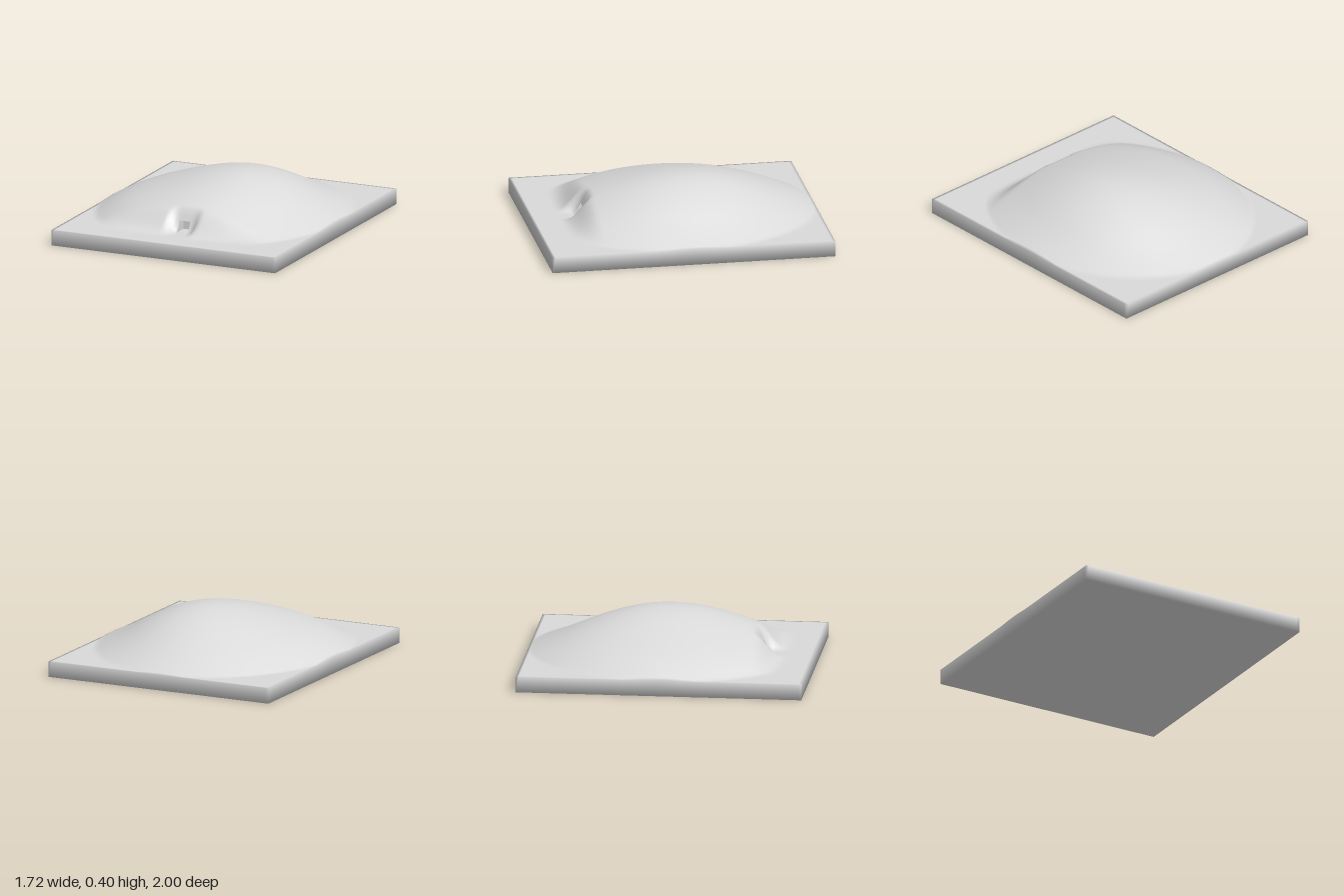
import * as THREE from 'three';

const W = 0.86, D = 1, BASE = 0.11, STEP = 0.02;
const NX = 86, NZ = 100;
const smooth = THREE.MathUtils.smoothstep;

// Ground height: an oval mound with a cut front slope and a funnel at the cave
function height(x, z) {
  const r = Math.hypot(x / 0.87, z);
  if (r >= 1) return BASE;
  // summit sits slightly to the left and back
  const lean = 0.02 * Math.sin(Math.PI * r / 0.7) * Math.min(1, (1 - r) / 0.3);
  const side = r > 0 ? (x / 0.87 - 0.35 * z) / r : 0;
  const dome = 0.285 * Math.cos(Math.PI * r / 2) + lean * side;
  const t = THREE.MathUtils.clamp((z - 0.59) / 0.22, 0, 1);
  const slope = (1 + Math.cos(Math.PI * t)) / 2;
  const funnel = 1 - smooth(z, 0.58, 0.7);
  const w = 1 - smooth(Math.abs(x), 0.05, 0.13);
  return BASE + Math.max(0, dome) * (slope + (Math.min(slope, funnel) - slope) * w);
}

// Closed slab: mound, sides and underside share vertices so edges shade softly
function slabGeometry() {
  const pos = [], index = [];
  const id = (i, j) => j * (NX + 1) + i;
  for (let j = 0; j <= NZ; j++) {
    for (let i = 0; i <= NX; i++) {
      const x = -W + i * STEP, z = -D + j * STEP;
      pos.push(x, height(x, z), z);
    }
  }
  for (let j = 0; j < NZ; j++) {
    for (let i = 0; i < NX; i++) {
      // leave the cave mouth open
      if (i >= 41 && i < 45 && j >= 82 && j < 85) continue;
      const a = id(i, j), b = id(i + 1, j), c = id(i, j + 1), d = id(i + 1, j + 1);
      index.push(a, c, b, b, c, d);
    }
  }
  // perimeter: right, front, left, back
  const ring = [];
  for (let j = 0; j < NZ; j++) ring.push(id(0, j));
  for (let i = 0; i < NX; i++) ring.push(id(i, NZ));
  for (let j = NZ; j > 0; j--) ring.push(id(NX, j));
  for (let i = NX; i > 0; i--) ring.push(id(i, 0));
  const first = pos.length / 3;
  for (const k of ring) pos.push(pos[3 * k], 0, pos[3 * k + 2]);
  ring.forEach((top, k) => {
    const n = (k + 1) % ring.length;
    index.push(top, first + k, ring[n], ring[n], first + k, first + n);
  });
  const geo = new THREE.BufferGeometry();
  geo.setAttribute('position', new THREE.Float32BufferAttribute(pos, 3));
  geo.setIndex(index);
  geo.computeVertexNormals();
  // roll the lower rim normals downward
  const normal = geo.attributes.normal, v = new THREE.Vector3();
  for (let k = first; k < normal.count; k++) {
    v.fromBufferAttribute(normal, k).setY(-1).normalize();
    normal.setXYZ(k, v.x, v.y, v.z);
  }
  // underside: a fan from the back right corner
  for (let k = 1; k < ring.length - 1; k++) index.push(first, first + k + 1, first + k);
  geo.setIndex(index);
  return geo;
}

export function createModel() {
  const model = new THREE.Group();
  model.name = 'caveMound';
  const stone = new THREE.MeshStandardMaterial({ color: 0xdbdbdb, side: THREE.DoubleSide });
  stone.name = 'paleGrey';

  const add = (name, geo, parent = model) => {
    const mesh = new THREE.Mesh(geo, stone);
    mesh.name = name;
    parent.add(mesh);
    return mesh;
  };

  add('moundSlab', slabGeometry());

  // Cave: square recess behind the opening
  const cave = new THREE.Group();
  cave.name = 'cave';
  model.add(cave);
  const back = 0.58, lip = 0.64, front = 0.7, half = 0.04;
  const roofY = height(0, lip), floorY = BASE + 0.001;
  const profile = new THREE.Shape([
    [back, floorY], [front, floorY], [0.68, height(0, 0.68)],
    [0.66, height(0, 0.66)], [lip, roofY], [back, roofY],
  ].map(([z, y]) => new THREE.Vector2(-z, y)));
  for (const s of [-1, 1]) {
    const side = add(s > 0 ? 'caveLeftWall' : 'caveRightWall', new THREE.ShapeGeometry(profile), cave);
    side.rotation.y = Math.PI / 2;
    side.position.x = s * half;
  }
  const floor = add('caveFloor', new THREE.PlaneGeometry(2 * half, front - back), cave);
  floor.rotation.x = -Math.PI / 2;
  floor.position.set(0, floorY, (front + back) / 2);
  const roof = add('caveRoof', new THREE.PlaneGeometry(2 * half, lip - back), cave);
  roof.rotation.x = Math.PI / 2;
  roof.position.set(0, roofY, (lip + back) / 2);
  add('caveBackWall', new THREE.PlaneGeometry(2 * half, roofY - floorY), cave)
    .position.set(0, (roofY + floorY) / 2, back);

  return model;
}
